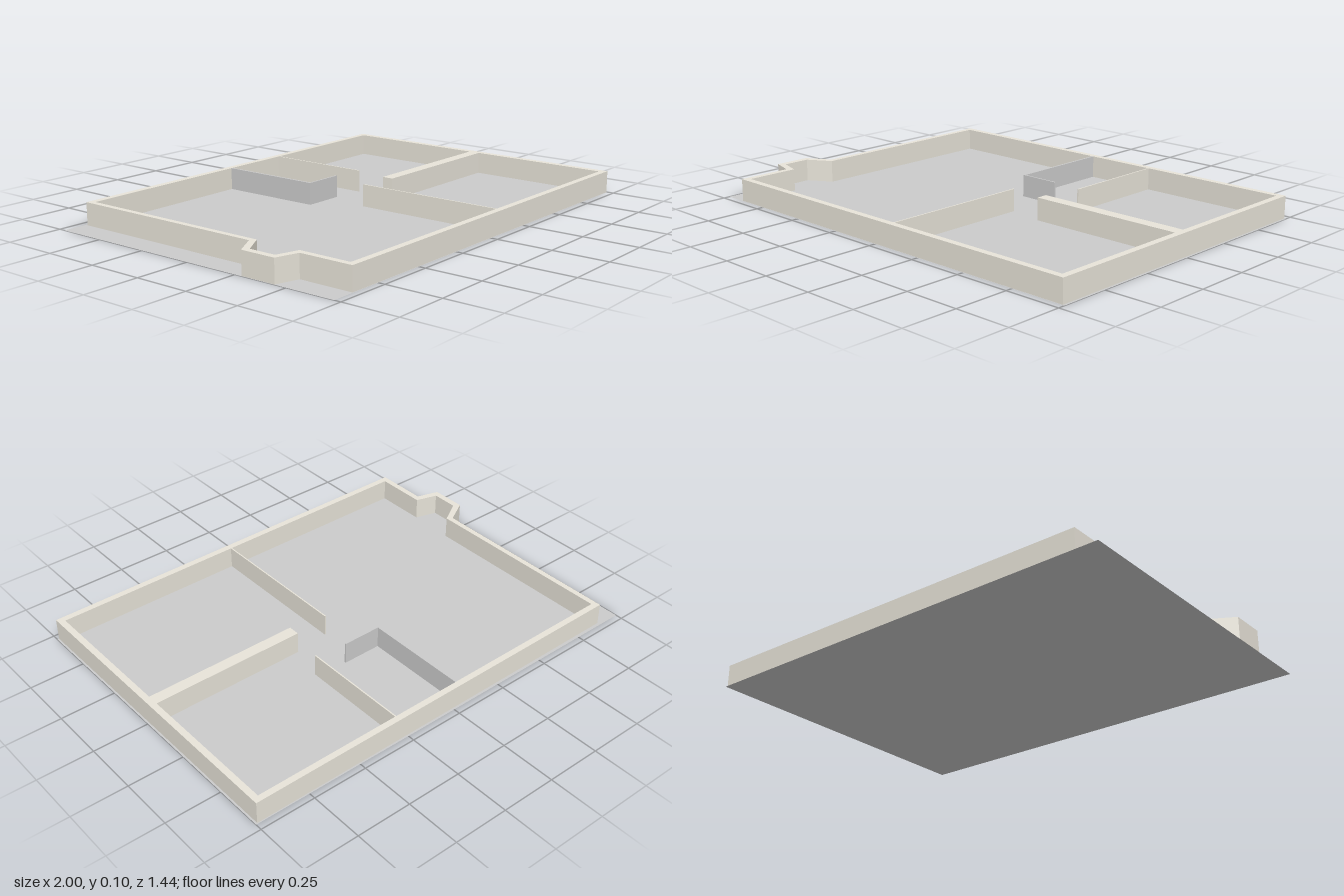
import * as THREE from 'three';

const HEIGHT = 0.101;
const BASE = 0.001; // walls start just above the floor sheet

export function createModel() {
  const model = new THREE.Group();
  const grey = new THREE.MeshStandardMaterial({ color: 0xcccccc, side: THREE.DoubleSide });
  const plaster = new THREE.MeshStandardMaterial({ color: 0xe8e4d9 });

  // Plan points are [x, z]; shapes are drawn in (x, -z) and extruded upwards
  const toPoints = (plan) => plan.map(([x, z]) => new THREE.Vector2(x, -z));
  function addWall(name, outline, material, hole) {
    const shape = new THREE.Shape(toPoints(outline));
    // The hole runs against the outline so that its faces look into the room
    if (hole) shape.holes.push(new THREE.Path(toPoints(hole).reverse()));
    const geometry = new THREE.ExtrudeGeometry(shape, { depth: HEIGHT - BASE, bevelEnabled: false });
    geometry.rotateX(-Math.PI / 2).translate(0, BASE, 0);
    const mesh = new THREE.Mesh(geometry, material);
    mesh.name = name;
    model.add(mesh);
  }
  const rect = (x0, x1, z0, z1) => [[x0, z0], [x1, z0], [x1, z1], [x0, z1]];

  // Floor sheet
  const floor = new THREE.Mesh(new THREE.PlaneGeometry(2, 1.44).rotateX(-Math.PI / 2), grey);
  floor.name = 'floor';
  model.add(floor);

  // Perimeter wall with a bay on the right-hand side
  addWall('outerWall',
    [[-0.89, -0.706], [0.992, -0.716], [0.992, 0.719], [-0.897, 0.719],
      [-0.897, 0.475], [-1, 0.445], [-1, 0.283], [-0.89, 0.22]],
    plaster,
    [[-0.865, -0.678], [0.963, -0.688], [0.963, 0.69], [-0.87, 0.69],
      [-0.87, 0.452], [-0.971, 0.423], [-0.971, 0.3], [-0.865, 0.236]]);

  // Partitions
  addWall('thickPartition', rect(0.252, 0.965, -0.021, 0.032), plaster);
  addWall('backPartition', rect(0.286, 0.292, -0.687, -0.186), plaster);
  addWall('frontPartition', rect(0.081, 0.087, 0, 0.692), plaster);
  addWall('cornerPartition',
    [[-0.045, -0.683], [-0.036, -0.683], [-0.036, -0.208], [0.143, -0.208],
      [0.143, -0.201], [-0.045, -0.201]], grey);

  return model;
}
